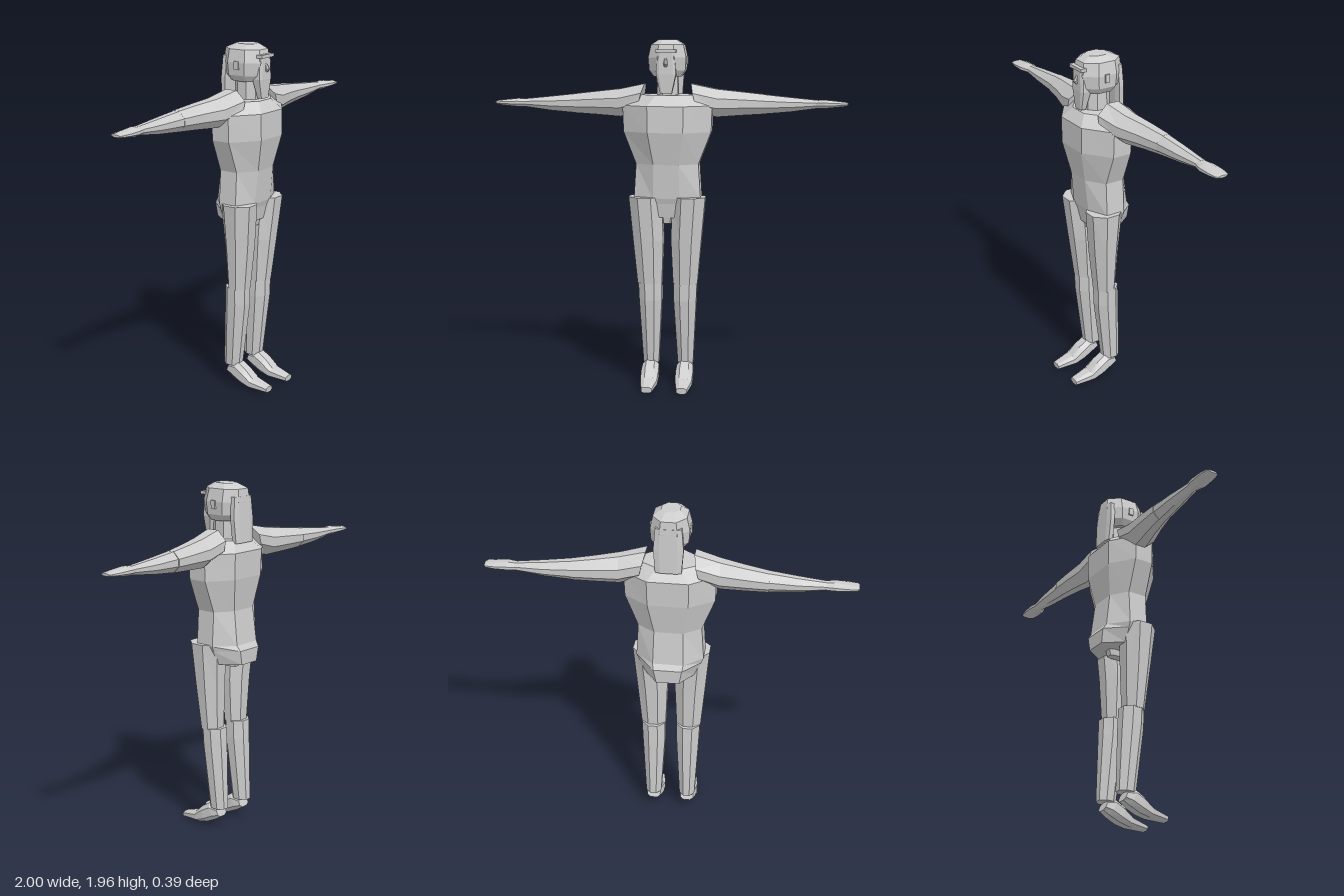
import * as THREE from 'three';

const skin = new THREE.MeshStandardMaterial({ color: 0xcccccc, flatShading: true });
skin.name = 'plain grey';

// Eight-sided unit outline, flat on all four sides
const octagon = (k = 0.42) => [[k, 1], [1, k], [1, -k], [k, -1], [-k, -1], [-1, -k], [-1, k], [-k, 1]];

// Closed solid through a list of equal-length rings of [x, y, z] points
function loft(name, rings) {
  const n = rings[0].length, pos = rings.flat(2), index = [];
  for (let r = 0; r < rings.length - 1; r++) {
    for (let i = 0; i < n; i++) {
      const a = r * n + i, b = r * n + (i + 1) % n;
      index.push(a, b, b + n, a, b + n, a + n);
    }
  }
  const last = (rings.length - 1) * n;
  for (let i = 1; i < n - 1; i++) index.push(0, i + 1, i, last, last + i, last + i + 1);

  // Turn the faces outward whichever way the rings run
  const p = (i) => new THREE.Vector3().fromArray(pos, i * 3);
  let volume = 0;
  for (let i = 0; i < index.length; i += 3) {
    volume += p(index[i]).dot(p(index[i + 1]).cross(p(index[i + 2])));
  }
  if (volume < 0) index.reverse();

  const indexed = new THREE.BufferGeometry();
  indexed.setAttribute('position', new THREE.Float32BufferAttribute(pos, 3));
  indexed.setIndex(index);
  const geometry = indexed.toNonIndexed();
  geometry.computeVertexNormals();
  const mesh = new THREE.Mesh(geometry, skin);
  mesh.name = name;
  return mesh;
}

// Horizontal ring: height, x range, z range
const level = (y, x0, x1, z0, z1, k) => octagon(k).map(([u, v]) =>
  [(x0 + x1) / 2 + u * (x1 - x0) / 2, y, (z0 + z1) / 2 + v * (z1 - z0) / 2]);

// Ring around an arm: x, y range, z range; lean shifts x with height
const armRing = (s, [x, y0, y1, z0, z1, lean = 0]) => octagon(0.35).map(([u, v]) =>
  [s * (x - lean * v), (y0 + y1) / 2 + v * (y1 - y0) / 2, (z0 + z1) / 2 + u * (z1 - z0) / 2]);

// Torso ring: side corners sit at fixed depths, front and back are narrower
const torsoRing = ([y, w, zf, zb]) => {
  const half = [[0.4 * w, zf], [w, 0.03], [w, -0.08], [0.45 * w, zb]];
  return [...half, ...half.slice().reverse().map(([x, z]) => [-x, z])].map(([x, z]) => [x, y, z]);
};

function box(name, w, h, d, x, y, z) {
  const mesh = new THREE.Mesh(new THREE.BoxGeometry(w, h, d), skin);
  mesh.name = name;
  mesh.position.set(x, y, z);
  return mesh;
}

function createHead() {
  const head = new THREE.Group();
  head.name = 'head';
  head.add(loft('skull', [
    [1.765, 0.075, 0.07, -0.11], [1.8, 0.1, 0.09, -0.14], [1.87, 0.105, 0.1, -0.148],
    [1.94, 0.09, 0.085, -0.14], [1.967, 0.05, 0.04, -0.08],
  ].map(([y, w, zf, zb]) => level(y, -w, w, zb, zf, 0.45))));
  head.add(loft('neck', [
    level(1.63, -0.06, 0.06, -0.09, 0.05), level(1.79, -0.055, 0.055, -0.09, 0.05),
  ]));
  // Face plate narrowing into a long chin
  head.add(loft('faceAndBeard', [
    level(1.9, -0.048, 0.048, 0.04, 0.104, 0.7), level(1.78, -0.055, 0.055, 0.04, 0.106, 0.7),
    level(1.675, -0.032, 0.032, 0.062, 0.1, 0.7),
  ]));
  // Hair falling to the shoulders
  head.add(loft('backHair', [
    level(1.9, -0.07, 0.07, -0.146, -0.1, 0.6), level(1.78, -0.08, 0.08, -0.152, -0.108, 0.6),
    level(1.65, -0.07, 0.07, -0.158, -0.115, 0.6),
  ]));
  head.add(box('brow', 0.115, 0.018, 0.035, 0, 1.906, 0.096));
  head.add(loft('nose', [
    level(1.868, -0.006, 0.006, 0.09, 0.106), level(1.836, -0.012, 0.012, 0.09, 0.125),
    level(1.82, -0.008, 0.008, 0.09, 0.112),
  ]));
  for (const s of [1, -1]) head.add(box('ear', 0.012, 0.045, 0.028, s * 0.106, 1.855, -0.02));
  return head;
}

function createArm(s) {
  const arm = new THREE.Group();
  arm.name = s > 0 ? 'leftArm' : 'rightArm';
  const parts = {
    upperArm: [[0.15, 1.57, 1.725, -0.14, 0.065, 0.02], [0.27, 1.54, 1.695, -0.145, 0.03],
      [0.4, 1.548, 1.68, -0.152, -0.01], [0.53, 1.555, 1.665, -0.155, -0.04]],
    forearm: [[0.522, 1.555, 1.665, -0.15, -0.04], [0.68, 1.568, 1.648, -0.148, -0.055],
      [0.83, 1.588, 1.633, -0.136, -0.07]],
    hand: [[0.82, 1.588, 1.632, -0.136, -0.068], [0.87, 1.588, 1.635, -0.144, -0.052],
      [0.94, 1.595, 1.628, -0.144, -0.052], [0.99, 1.6, 1.622, -0.136, -0.06],
      [1, 1.605, 1.618, -0.125, -0.07]],
  };
  for (const [name, rows] of Object.entries(parts)) {
    arm.add(loft(name, rows.map((row) => armRing(s, row))));
  }
  return arm;
}

function createLeg(s) {
  const leg = new THREE.Group();
  leg.name = s > 0 ? 'leftLeg' : 'rightLeg';
  const legRing = ([y, x0, x1, z0, z1]) => level(y, s * x0, s * x1, z0, z1, 0.4);
  leg.add(loft('thigh', [[1.095, 0.03, 0.215, -0.09, 0.105], [0.85, 0.022, 0.193, -0.075, 0.08],
    [0.597, 0.032, 0.17, -0.065, 0.05]].map(legRing)));
  leg.add(loft('shin', [[0.603, 0.034, 0.167, -0.085, 0.048], [0.5, 0.034, 0.163, -0.09, 0.046],
    [0.125, 0.055, 0.143, -0.105, 0]].map(legRing)));
  // Foot sections run from the ankle forward to the toe
  const footRings = [
    [-0.08, 0.075, -0.06, 0.125, 0.038], [-0.045, 0.052, 0, 0.142, 0.047],
    [0.02, 0.022, 0.05, 0.112, 0.05], [0.08, 0.008, 0.1, 0.066, 0.047], [0.198, 0.004, 0.2, 0.038, 0.03],
  ];
  leg.add(loft('foot', footRings.map(([zb, yb, zt, yt, w]) => octagon(0.5).map(([u, v]) => {
    const t = (v + 1) / 2;
    return [s * 0.099 + u * w, yb + (yt - yb) * t, zb + (zt - zb) * t];
  }))));
  return leg;
}

export function createModel() {
  const model = new THREE.Group();
  model.name = 'figure';
  model.add(loft('torso', [
    [1.665, 0.14, 0.095, -0.13], [1.605, 0.25, 0.14, -0.18], [1.46, 0.245, 0.14, -0.175],
    [1.28, 0.175, 0.1, -0.147], [1.09, 0.187, 0.08, -0.17], [1.06, 0.175, 0.07, -0.19],
    [0.98, 0.14, 0.055, -0.188],
  ].map(torsoRing)));
  model.add(loft('crotch', [
    level(1.1, -0.045, 0.045, -0.14, 0.078, 0.7), level(0.945, -0.025, 0.025, -0.1, 0.04, 0.7),
  ]));
  model.add(createHead());
  for (const s of [1, -1]) model.add(createArm(s), createLeg(s));
  return model;
}
